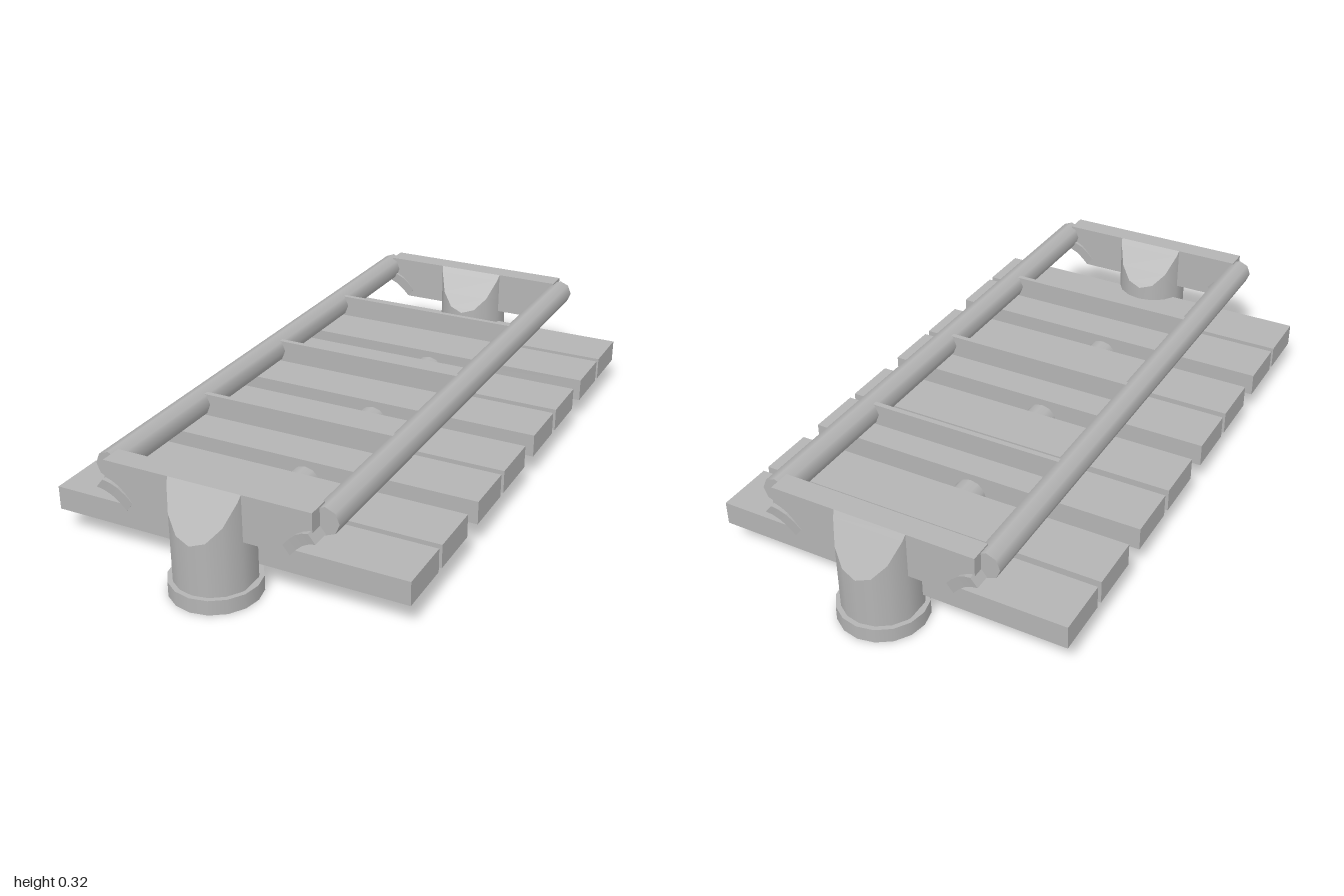
import * as THREE from 'three';

const metal = new THREE.MeshStandardMaterial({ color: 0xb4b4b4 });
metal.name = 'grey';

function add(parent, name, geometry, x = 0, y = 0, z = 0) {
  const mesh = new THREE.Mesh(geometry, metal);
  mesh.name = name;
  mesh.position.set(x, y, z);
  parent.add(mesh);
  return mesh;
}

// Collects quads and triangles into a flat-shaded geometry
function fromTriangles(points) {
  const g = new THREE.BufferGeometry();
  g.setAttribute('position', new THREE.Float32BufferAttribute(points.flat(), 3));
  g.computeVertexNormals();
  return g;
}

// Round post whose top is cut by two slopes, leaving a flat ridge along x
const R = 0.113, RIDGE = 0.033, TOP = 0.32;
const cutHeight = z => Math.min(TOP, 0.187 + (R - Math.abs(z)) * (TOP - 0.187) / (R - RIDGE));

function postGeometries() {
  const edge = Math.acos(RIDGE / R);
  const half = [0, 0.125, 0.25, 0.375, edge / Math.PI].map(t => t * Math.PI).sort((a, b) => a - b);
  const angles = [...half, ...half.map(a => Math.PI - a).reverse()];
  const at = (a, s) => {
    const z = R * Math.cos(a);
    return [s * R * Math.sin(a), cutHeight(z), z];
  };
  const wall = [], normals = [], cap = [];
  for (let i = 0; i < angles.length - 1; i++) {
    const a = angles[i], b = angles[i + 1];
    for (const s of [1, -1]) {
      const p = at(a, s), q = at(b, s);
      const p0 = [p[0], 0.03, p[2]], q0 = [q[0], 0.03, q[2]];
      const tris = s > 0 ? [p0, q0, q, p0, q, p] : [p0, q, q0, p0, p, q];
      for (const v of tris) {
        wall.push(v);
        normals.push(v[0] / R, 0, v[2] / R);
      }
    }
    cap.push(at(a, -1), at(a, 1), at(b, 1), at(a, -1), at(b, 1), at(b, -1));
  }
  const wallGeometry = fromTriangles(wall);
  wallGeometry.setAttribute('normal', new THREE.Float32BufferAttribute(normals, 3));
  return [wallGeometry, fromTriangles(cap)];
}

// Curved gusset at the end of a cross panel, widening as it rises
function gussetGeometry() {
  const rows = [];
  for (let i = 0; i <= 4; i++) {
    const t = i / 4;
    const lower = [0.242 + 0.08 * t, 0.185 + 0.06 * t - 0.012 * Math.sin(Math.PI * t) * -1];
    const w = 0.034 + 0.014 * t;
    const upper = [lower[0] - 0.02, lower[1] + 0.025];
    rows.push([
      [lower[0], lower[1], w], [lower[0], lower[1], -w],
      [upper[0], upper[1], -w], [upper[0], upper[1], w],
    ]);
  }
  const tris = [];
  const quad = (a, b, c, d) => tris.push(a, b, c, a, c, d);
  for (let i = 0; i < 4; i++) {
    for (let k = 0; k < 4; k++) {
      const n = (k + 1) % 4;
      quad(rows[i][k], rows[i][n], rows[i + 1][n], rows[i + 1][k]);
    }
  }
  quad(...[...rows[0]].reverse());
  quad(...rows[4]);
  return fromTriangles(tris);
}

// End panel with concave lower corners
function panelGeometry() {
  const s = new THREE.Shape();
  s.moveTo(-0.24, 0.185);
  s.lineTo(0.24, 0.185);
  s.quadraticCurveTo(0.262, 0.222, 0.306, 0.245);
  s.lineTo(0.306, 0.32);
  s.lineTo(-0.306, 0.32);
  s.lineTo(-0.306, 0.245);
  s.quadraticCurveTo(-0.262, 0.222, -0.24, 0.185);
  const g = new THREE.ExtrudeGeometry(s, { depth: 0.066, bevelEnabled: false, curveSegments: 4 });
  return g.translate(0, 0, -0.033);
}

export function createModel() {
  const model = new THREE.Group();
  model.name = 'slattedRack';

  // Slats across the lower beam
  const slats = [-0.76, -0.569, -0.327, -0.132, 0.113, 0.306, 0.55, 0.74];
  for (const z of slats) add(model, 'slat', new THREE.BoxGeometry(1.066, 0.07, 0.17), 0, 0.11, z);

  // Lower central beam
  const beam = new THREE.CylinderGeometry(0.05, 0.05, 1.6, 12).rotateX(Math.PI / 2);
  add(model, 'centreBeam', beam, 0, 0.075, 0);

  // Upper side rails
  for (const side of [-1, 1]) {
    const rail = new THREE.CylinderGeometry(0.04, 0.04, 1.74, 8).rotateX(Math.PI / 2);
    add(model, side > 0 ? 'leftRail' : 'rightRail', rail, side * 0.32, 0.281, -0.004);
  }

  // Thin cross bars between the rails
  for (const z of [-0.437, -0.004, 0.43]) {
    add(model, 'crossBar', new THREE.BoxGeometry(0.6, 0.066, 0.016), 0, 0.279, z);
  }

  // End supports: foot, post, panel and gussets
  const [wall, cap] = postGeometries();
  for (const end of [-1, 1]) {
    const support = new THREE.Group();
    support.name = end > 0 ? 'frontSupport' : 'backSupport';
    support.position.z = end * 0.872;
    if (end < 0) support.rotation.y = Math.PI;
    model.add(support);
    add(support, 'foot', new THREE.CylinderGeometry(0.127, 0.127, 0.043, 16), 0, 0.0215, 0);
    add(support, 'post', wall);
    add(support, 'postTop', cap);
    add(support, 'endPanel', panelGeometry());
    for (const side of [0, 1]) {
      add(support, 'gusset', gussetGeometry()).rotation.y = side * Math.PI;
    }
  }
  return model;
}
